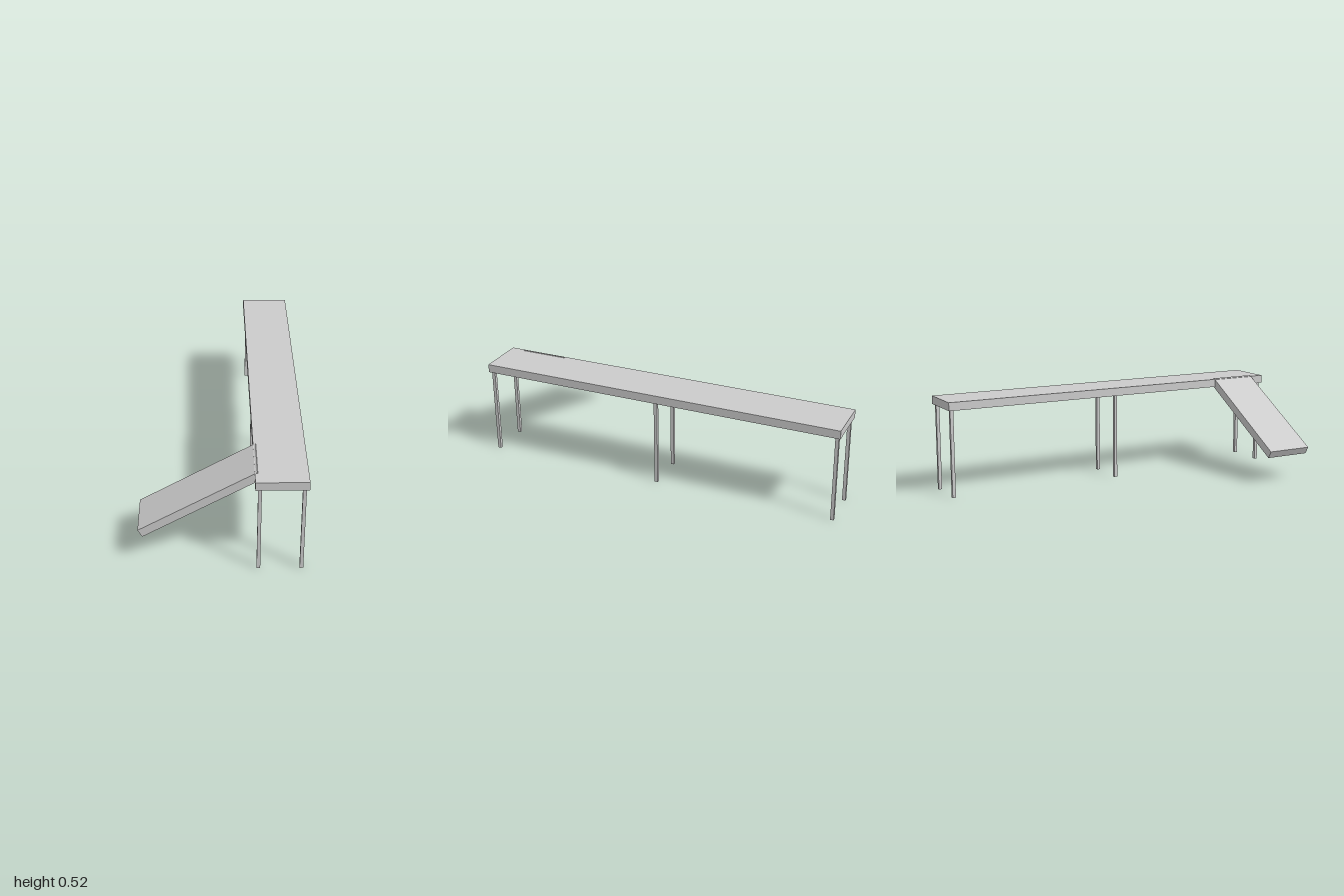
import * as THREE from 'three';

export function createModel() {
  const model = new THREE.Group();
  const material = new THREE.MeshStandardMaterial({ color: 0xcccccc, flatShading: true });

  const addBox = (name, size, position) => {
    const mesh = new THREE.Mesh(new THREE.BoxGeometry(...size), material);
    mesh.name = name;
    mesh.position.set(...position);
    model.add(mesh);
    return mesh;
  };

  const deckX = 0.285, deckWidth = 0.259, thickness = 0.045, legHeight = 0.473;

  // Long walkway
  addBox('deck', [deckWidth, thickness, 2], [deckX, legHeight + thickness / 2, 0]);

  // Three pairs of slim square legs
  for (const z of [-0.98, 0, 0.98]) {
    for (const side of [-1, 1]) {
      addBox('leg', [0.018, legHeight, 0.018], [deckX + side * 0.1065, legHeight / 2, z]);
    }
  }

  // Ramp sloping down from the side of the deck near the front
  const ramp = addBox('ramp', [0.673, thickness, 0.259], [-0.113, 0.335, 0.792]);
  ramp.rotation.z = Math.PI / 6;

  return model;
}
